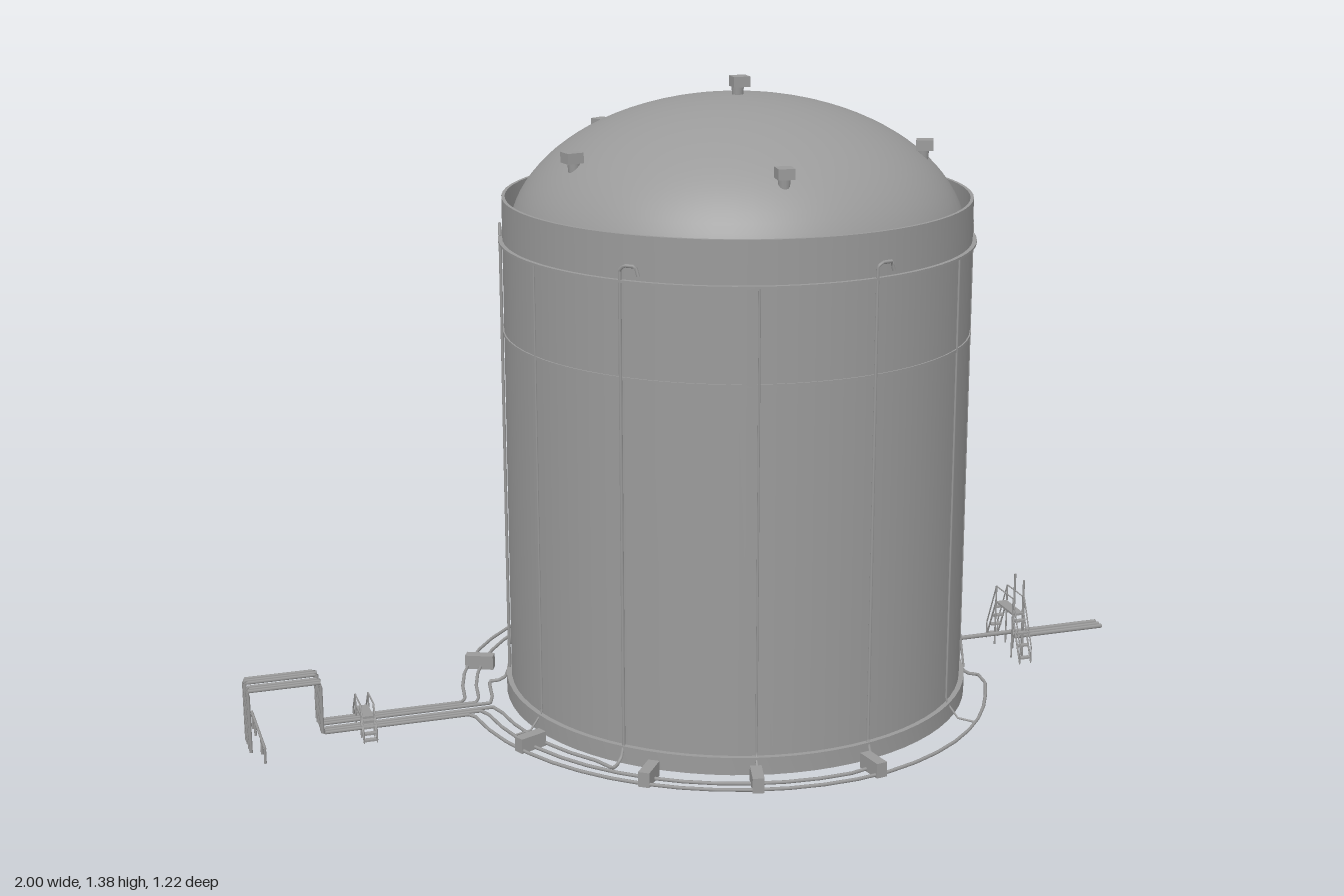
import * as THREE from 'three';
import { toCreasedNormals } from 'three/addons/utils/BufferGeometryUtils.js';

const CX = 0.09, CZ = 0.017, R = 0.5;
const rad = THREE.MathUtils.degToRad;
const V = (x, y, z) => new THREE.Vector3(x, y, z);
// Point around the tank axis; angle 0 is +x, 90 is +z
const around = (deg, r, y, cz = CZ) => V(CX + r * Math.cos(rad(deg)), y, cz + r * Math.sin(rad(deg)));

export function createModel() {
  const root = new THREE.Group();
  const mat = new THREE.MeshStandardMaterial({ color: 0x9a9a9a });
  const shellMat = new THREE.MeshStandardMaterial({ color: 0x9a9a9a, side: THREE.DoubleSide });

  const group = (name, parent = root) => {
    const g = new THREE.Group();
    g.name = name;
    parent.add(g);
    return g;
  };
  const add = (name, geo, parent = root, m = mat) => {
    const mesh = new THREE.Mesh(geo, m);
    mesh.name = name;
    parent.add(mesh);
    return mesh;
  };
  const box = (name, w, h, d, x, y, z, parent) => {
    const mesh = add(name, new THREE.BoxGeometry(w, h, d), parent);
    mesh.position.set(x, y, z);
    return mesh;
  };
  const lathe = (name, pts, crease) => {
    let geo = new THREE.LatheGeometry(pts.map(p => new THREE.Vector2(...p)), 72);
    if (crease) geo = toCreasedNormals(geo, 0.6);
    const mesh = add(name, geo, root, shellMat);
    mesh.position.set(CX, 0, CZ);
  };
  // Pipe through corner points; zero tension keeps the runs straight
  const pipe = (name, pts, r, segs, parent) =>
    add(name, new THREE.TubeGeometry(new THREE.CatmullRomCurve3(pts, false, 'catmullrom', 0), segs, r, 6), parent);
  const rod = (name, a, b, r, parent) => {
    const mesh = add(name, new THREE.CylinderGeometry(r, r, a.distanceTo(b), 6), parent);
    mesh.position.copy(a).lerp(b, 0.5);
    mesh.quaternion.setFromUnitVectors(V(0, 1, 0), b.clone().sub(a).normalize());
  };

  // Tank shell, open underneath, with an elliptical domed roof sunk inside the rim
  lathe('tankWall', [[R, 0.02], [R, 1.13]]);
  lathe('rim', [[R, 1.13], [0.493, 1.13], [0.493, 1.035]], true);
  const dome = [];
  for (let i = 0; i <= 24; i++) {
    const a = (i / 24) * Math.PI / 2;
    dome.push([0.488 * Math.cos(a), 1.035 + 0.305 * Math.sin(a)]);
  }
  lathe('domeRoof', dome);
  lathe('baseFlange', [[R, 0.02], [0.511, 0.02], [0.511, 0.058], [R, 0.058]], true);
  lathe('upperBand', [[R, 1.035], [0.509, 1.035], [0.509, 1.04], [R, 1.04]], true);
  lathe('middleBand', [[R, 0.836], [0.503, 0.836], [0.503, 0.843], [R, 0.843]], true);

  // Roof vents: one in the centre, five around the dome, with caps leaning outward
  const vent = (p, deg) => {
    const g = group('roofVent');
    const stem = add('ventStem', new THREE.CylinderGeometry(0.014, 0.011, 0.036, 12), g);
    stem.position.y = -0.032;
    box('ventCap', 0.036, 0.022, 0.034, 0.004, -0.011, 0, g);
    g.position.copy(p);
    g.rotation.y = -rad(deg);
  };
  vent(around(0, 0, 1.378), 0);
  for (let k = 0; k < 5; k++) vent(around(23.5 + 72 * k, 0.39, 1.25), 23.5 + 72 * k);

  // Supply pipes: over the gate, along the ground, round the ring, up the wall
  const pipes = group('supplyPipes');
  for (const side of [1, -1]) {
    [44, 104, 164].forEach((sweep, k) => {
      const end = side > 0 ? 180 - sweep : 152 + sweep;
      const ringR = 0.546 + 0.03 * k, z = side * (0.012 + 0.012 * k), y = 0.024;
      const pts = [V(-0.994, 0, z), V(-0.994, 0.138, z), V(-0.842, 0.138, z), V(-0.842, y, z),
        V(CX - ringR - 0.01, y, z)];
      const stop = Math.abs(180 - end);
      for (let a = 5; a < stop - 3; a += 7) {
        const ease = Math.max(0, Math.min(1, (a - 100) / 50));
        pts.push(around(180 - side * a, ringR - 0.045 * ease, y, CZ * ease));
      }
      pts.push(around(end, 0.55, y), around(end, 0.53, y + 0.002), around(end, 0.515, 0.035), around(end, 0.505, 0.06),
        around(end, 0.505, 1.06), around(end - 1, 0.505, 1.069), around(end - 4, 0.505, 1.069), around(end - 4.6, 0.505, 1.05));
      pipe('wallPipe', pts, 0.0037, 280, pipes);
    });
  }
  // Thin risers between them, feeding the upper band
  for (let a = 44; a < 360; a += 60)
    pipe('bandRiser', [around(a, 0.57, 0.024), around(a, 0.53, 0.026), around(a, 0.502, 0.06), around(a, 0.502, 1.037)], 0.0025, 80, pipes);

  // Blocks carrying the ring of ground pipes
  const blocks = group('pipeSupports');
  for (const a of [79, 104, 126, 156, 204, 230, 250, 275]) {
    const p = around(a, 0.578, 0.034, 0);
    box('supportBlock', 0.064, 0.032, 0.024, p.x, p.y, p.z, blocks).rotation.y = -rad(a);
  }

  // Gate support at the far end of the header
  const gate = group('gateSupport');
  for (const z of [-0.09, -0.05, 0.05, 0.1]) rod('gatePost', V(-0.973, 0, z), V(-0.973, 0.035, z), 0.003, gate);
  rod('gateBar', V(-0.973, 0.035, -0.1), V(-0.973, 0.035, 0.105), 0.003, gate);

  // Step-over bridges with treads on both sides and handrails
  const stepOver = (x, top, half, railH) => {
    const g = group('stepOver');
    box('bridgeDeck', 0.026, 0.005, half, x, top, 0, g);
    for (const s of [-1, 1]) {
      for (let i = 0; i < 4; i++) {
        const t = (i + 0.5) / 4;
        box('bridgeStep', 0.026, 0.004, 0.012, x, top * (1 - t), s * half * (0.5 + 0.5 * t), g);
      }
      for (const e of [-0.014, 0.014]) {
        rod('stringer', V(x + e, 0.005, s * half), V(x + e, top, s * half / 2), 0.002, g);
        rod('handrail', V(x + e, railH, s * half), V(x + e, top + railH, s * half / 2), 0.0016, g);
        rod('bridgePost', V(x + e, 0, s * half / 2), V(x + e, top + railH, s * half / 2), 0.002, g);
        rod('newel', V(x + e, 0, s * half), V(x + e, railH, s * half), 0.0016, g);
      }
    }
    for (const e of [-0.014, 0.014])
      rod('deckRail', V(x + e, top + railH, -half / 2), V(x + e, top + railH, half / 2), 0.0016, g);
  };
  stepOver(-0.745, 0.045, 0.065, 0.03);
  stepOver(0.775, 0.105, 0.09, 0.04);

  // Outlet line, widening to three pipes beyond the bridge
  const outlet = group('outletLine');
  rod('outletPipe', V(0.58, 0.045, 0), V(1, 0.045, 0), 0.005, outlet);
  for (const z of [0.016, 0.03]) rod('outletPipe', V(0.775, 0.045, z), V(1, 0.045, z), 0.005, outlet);
  for (const z of [-0.008, 0.038]) rod('outletStand', V(0.79, 0, z), V(0.79, 0.185, z), 0.0025, outlet);
  rod('outletFlange', V(0.6, 0.045, 0), V(0.622, 0.045, 0), 0.016, outlet);

  // Valve frame beside the tank wall
  const valve = group('valveFrame');
  for (const z of [-0.08, -0.02, 0.02]) rod('valvePost', V(0.618, 0.01, z), V(0.618, z < 0 ? 0.12 : 0.15, z), 0.0035, valve);
  rod('valveBar', V(0.618, 0.12, -0.08), V(0.618, 0.12, 0), 0.0035, valve);
  box('valveBody', 0.022, 0.03, 0.02, 0.612, 0.115, 0.05, valve);
  rod('valveBrace', V(0.61, 0.02, 0.11), V(0.61, 0.14, 0.07), 0.0025, valve);
  rod('valveTop', V(0.61, 0.14, 0.07), V(0.61, 0.14, 0), 0.0025, valve);

  // Small access hatch low on the back wall
  rod('accessHatch', around(205, 0.495, 0.1), around(205, 0.512, 0.1), 0.02, root);

  // Stair winding up the back, with two landings: [angle, height]
  const stair = group('wallStair');
  const flight = [[-61, 0.05], [-71, 0.25], [-75, 0.26], [-89, 0.65], [-94, 0.67], [-114, 1.085]];
  const line = (r, lift) => {
    const pts = [];
    flight.slice(1).forEach((b, i) => {
      const a = flight[i];
      for (let k = i ? 1 : 0; k <= 4; k++)
        pts.push(around(a[0] + (b[0] - a[0]) * k / 4, r, lift + a[1] + (b[1] - a[1]) * k / 4));
    });
    return pts;
  };
  pipe('innerStringer', line(0.504, 0), 0.0025, 70, stair);
  pipe('outerStringer', line(0.519, 0), 0.0025, 70, stair);
  pipe('stairRail', line(0.519, 0.05), 0.0015, 70, stair);
  flight.slice(1).forEach((b, i) => {
    const a = flight[i], n = Math.max(4, Math.round((b[1] - a[1]) / 0.022));
    for (let k = 0; k < n; k++) {
      const t = (k + 0.5) / n, deg = a[0] + (b[0] - a[0]) * t;
      const p = around(deg, 0.511, a[1] + (b[1] - a[1]) * t);
      box('tread', 0.016, 0.003, 0.014, p.x, p.y, p.z, stair).rotation.y = -rad(deg);
      if (k % 6 === 0) rod('railPost', around(deg, 0.519, p.y), around(deg, 0.519, p.y + 0.05), 0.0013, stair);
    }
  });

  return root;
}
